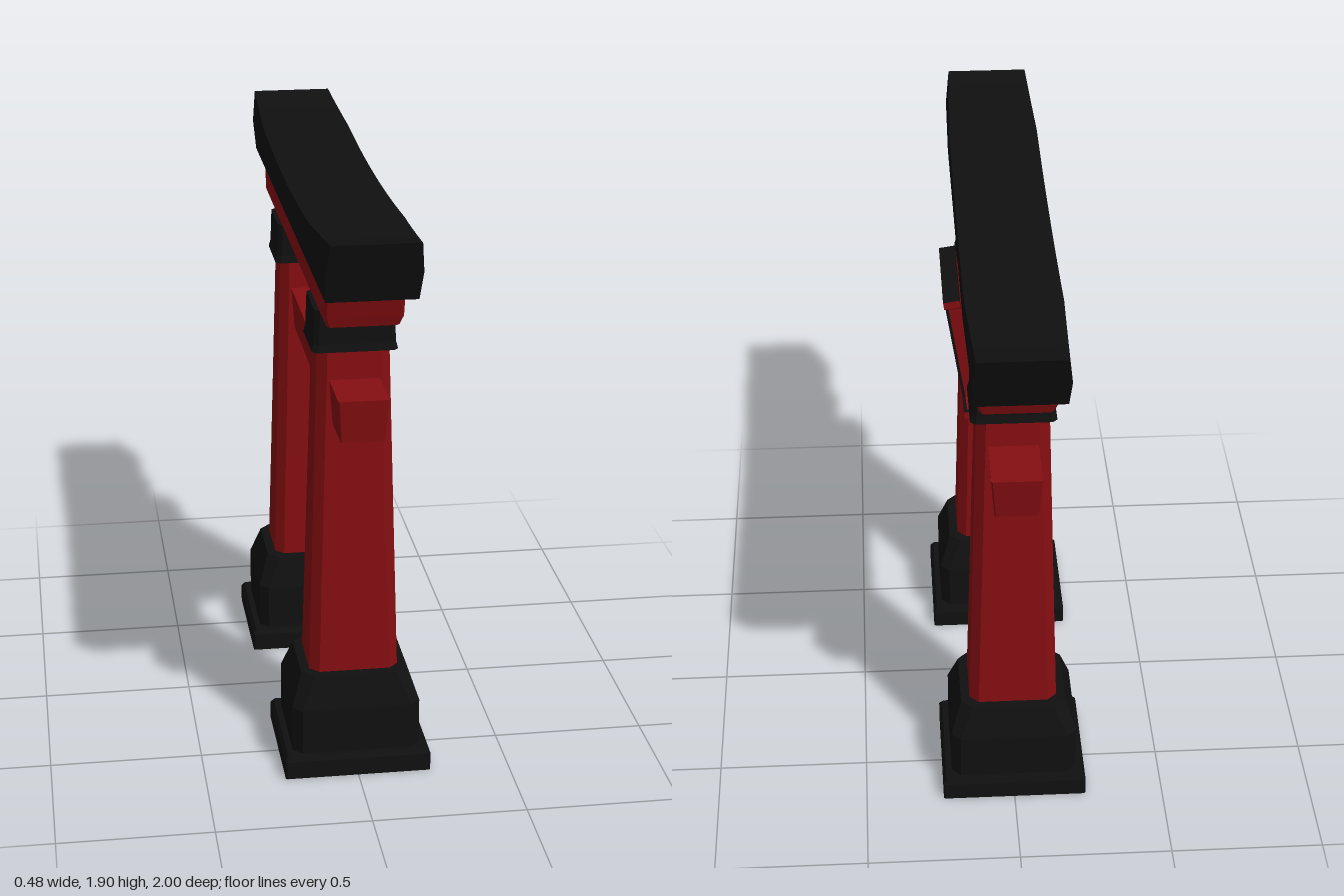
import * as THREE from 'three';

const mat = (name, color) => Object.assign(new THREE.MeshStandardMaterial({ color }), { name });

// Flat-faced solid through a list of rings with equal point counts, capped at both ends
function loft(rings) {
  const pos = [];
  const tri = (...pts) => pts.forEach((p) => pos.push(...p));
  const n = rings[0].length;
  for (let i = 0; i < rings.length - 1; i++) {
    for (let j = 0; j < n; j++) {
      const k = (j + 1) % n;
      const a = rings[i][j], b = rings[i][k], c = rings[i + 1][k], d = rings[i + 1][j];
      tri(a, b, c);
      tri(a, c, d);
    }
  }
  const first = rings[0], last = rings[rings.length - 1];
  for (let j = 1; j < n - 1; j++) {
    tri(first[0], first[j + 1], first[j]);
    tri(last[0], last[j], last[j + 1]);
  }
  const g = new THREE.BufferGeometry();
  g.setAttribute('position', new THREE.Float32BufferAttribute(pos, 3));
  g.computeVertexNormals();
  return g;
}

// Horizontal rectangle ring with cut corners: half width x, half depth z, height y, corner cut c
const ring = (x, z, y, c) => [
  [x, y, z - c], [x, y, c - z], [x - c, y, -z], [c - x, y, -z],
  [-x, y, c - z], [-x, y, z - c], [c - x, y, z], [x - c, y, z],
];
const stack = (levels) => loft(levels.map((l) => ring(...l)));

function polygon(points) {
  return new THREE.Shape(points.map(([x, y]) => new THREE.Vector2(x, y)));
}

// Mirror a right-hand outline (bottom to top) into a closed one
const mirrored = (half) => [...half, ...half.map(([x, y]) => [-x, y]).reverse()];

// Extrude an upright outline so that its face looks along +x
const plate = (shape, depth, x) =>
  new THREE.ExtrudeGeometry(shape, { depth, bevelEnabled: false }).rotateY(Math.PI / 2).translate(x, 0, 0);

export function createModel() {
  const red = mat('red lacquer', 0x850e11);
  const black = mat('black lacquer', 0x101010);
  const gold = mat('gold', 0xb87817);

  const model = new THREE.Group();
  model.name = 'shrineGate';
  const add = (parent, name, geometry, material) => {
    const m = new THREE.Mesh(geometry, material);
    m.name = name;
    parent.add(m);
    return m;
  };

  // Two posts, each with a stepped foot, tapered shaft and collar
  for (const side of [-1, 1]) {
    const post = new THREE.Group();
    post.name = side > 0 ? 'frontPost' : 'backPost';
    post.position.z = side * 0.48;
    add(post, 'plinth', stack([[0.24, 0.22, 0, 0.005], [0.24, 0.22, 0.06, 0.005], [0.23, 0.21, 0.075, 0.005]]), black);
    add(post, 'footBlock', stack([[0.21, 0.19, 0.07, 0.03], [0.21, 0.19, 0.23, 0.03], [0.175, 0.155, 0.335, 0.04]]), black);
    add(post, 'shaft', stack([[0.146, 0.123, 0.32, 0.03], [0.13, 0.108, 0.9, 0.03], [0.115, 0.094, 1.45, 0.03]]), red);
    add(post, 'collar', stack([
      [0.136, 0.119, 1.435, 0.015], [0.13, 0.113, 1.46, 0.015], [0.126, 0.112, 1.57, 0.015],
    ]), black);
    model.add(post);
  }

  // Straight beams with slanted ends
  add(model, 'tieBeam', stack([[0.07, 0.757, 1.195, 0.004], [0.08, 0.778, 1.337, 0.004]]), red);
  add(model, 'upperBeam', stack([[0.112, 0.755, 1.57, 0.01], [0.124, 0.765, 1.6, 0.01], [0.124, 0.797, 1.71, 0.01]]), red);

  // Curved top beam: the upper edge sweeps up and the ends lean outward
  const sections = [];
  const steps = 20;
  for (let i = 0; i <= steps; i++) {
    const t = (i / steps) * 2 - 1;
    const taper = Math.max(0, (Math.abs(t) - 0.6) / 0.4);
    const top = 1.84 + 0.06 * t * t;
    const section = [
      [0.14, 1.705], [0.155 - 0.008 * taper, 1.8], [0.15 - 0.015 * taper, top],
    ];
    const outline = [...section, ...section.map(([x, y]) => [-x, y]).reverse()];
    sections.push(outline.map(([x, y]) => [x, y, t * (0.925 + 0.075 * (y - 1.705) / 0.195)]));
  }
  add(model, 'roofBeam', loft(sections), black);

  // Tilted plaque hanging on the +x side
  const plaque = new THREE.Group();
  plaque.name = 'plaque';
  plaque.position.set(0.083, 1.2, 0);
  plaque.rotation.z = -0.15;
  const outline = mirrored([[0.18, 0.015], [0.135, 0.055], [0.163, 0.405], [0.18, 0.43]]);
  const opening = mirrored([[0.09, 0.06], [0.122, 0.392]]);
  add(plaque, 'plaqueBoard', plate(polygon(outline), 0.041, 0), red);
  const frame = polygon(outline);
  frame.holes.push(polygon(opening));
  add(plaque, 'plaqueFrame', plate(frame, 0.009, 0.041), black);
  add(plaque, 'plaquePanel', plate(polygon(opening), 0.004, 0.041), gold);
  // Top and bottom rails with red end faces
  for (const [name, y] of [['plaqueBottomRail', 0.0125], ['plaqueTopRail', 0.4325]]) {
    const rail = add(plaque, name, new THREE.BoxGeometry(0.053, 0.025, 0.37), [black, black, black, black, red, red]);
    rail.position.set(0.0265, y, 0);
  }
  model.add(plaque);

  return model;
}
